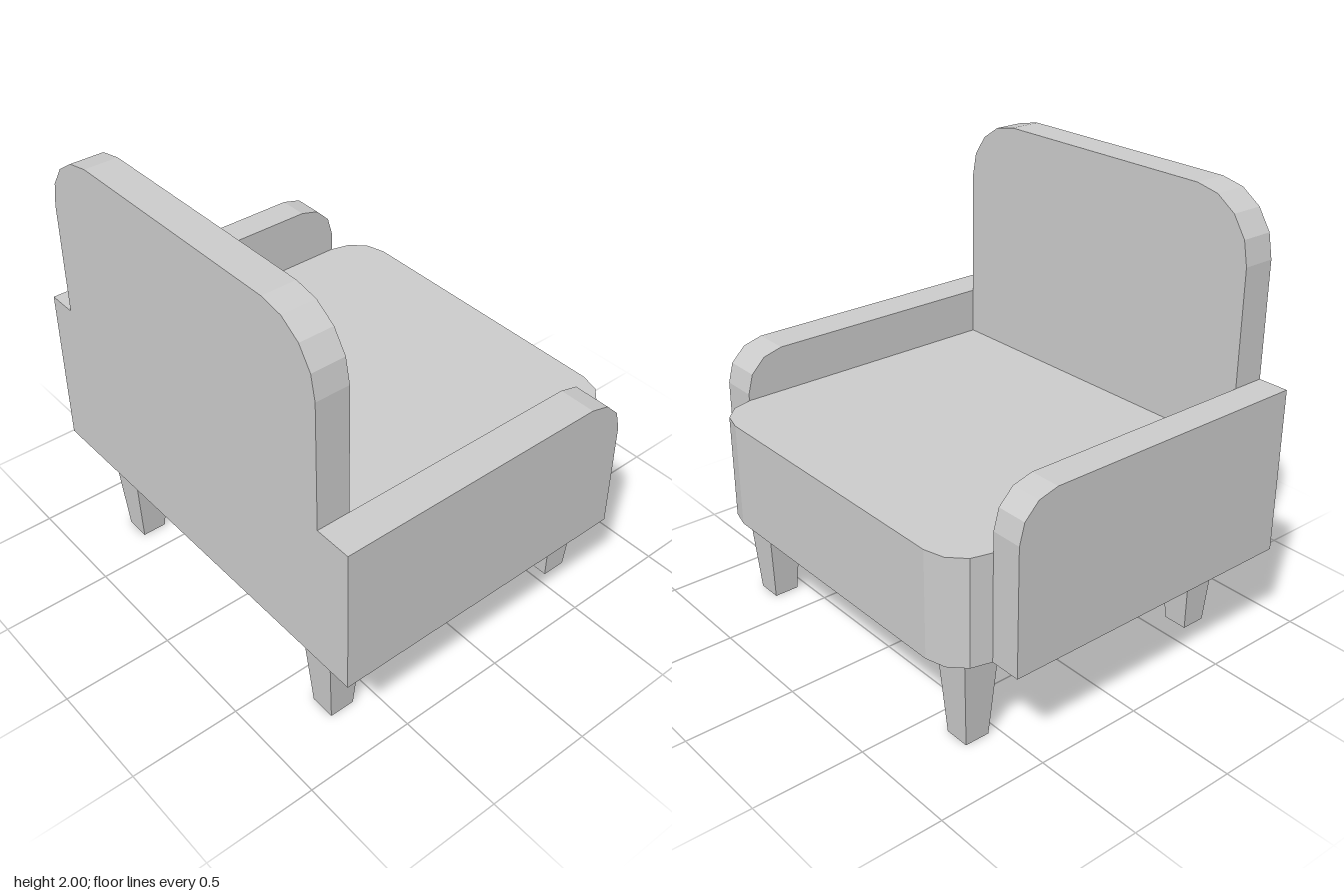
import * as THREE from 'three';

const material = new THREE.MeshStandardMaterial({ color: 0xcccccc, flatShading: true });

// Rectangle outline with rounded corners; radii run bottom left, bottom right, top right, top left
function roundedOutline(x0, y0, x1, y1, radii, segments) {
  const corners = [[x0, y0, 1, 1], [x1, y0, -1, 1], [x1, y1, -1, -1], [x0, y1, 1, -1]];
  const points = [];
  corners.forEach(([x, y, sx, sy], i) => {
    const r = radii[i];
    if (!r) {
      points.push(new THREE.Vector2(x, y));
      return;
    }
    for (let k = 0; k <= segments; k++) {
      const a = Math.PI + (i + k / segments) * Math.PI / 2;
      points.push(new THREE.Vector2(x + sx * r + r * Math.cos(a), y + sy * r + r * Math.sin(a)));
    }
  });
  return new THREE.Shape(points);
}

function slab(shape, depth) {
  return new THREE.ExtrudeGeometry(shape, { depth, bevelEnabled: false });
}

export function createModel() {
  const chair = new THREE.Group();
  chair.name = 'armchair';
  const add = (name, geometry) => {
    const mesh = new THREE.Mesh(geometry, material);
    mesh.name = name;
    chair.add(mesh);
    return mesh;
  };

  const base = 0.45, back = -0.81, backFront = -0.66;
  const zNear = 0.82, zFar = -0.85;

  // Seat block, its two outer corners rounded in plan
  const seat = roundedOutline(backFront, -zNear, 0.81, -zFar, [0, 0.18, 0.18, 0], 3);
  add('seat', slab(seat, 0.93 - base).rotateX(-Math.PI / 2).translate(0, base, 0));

  // Backrest with large rounded top corners
  const rest = roundedOutline(-zNear, base, -zFar, 2, [0, 0, 0.28, 0.28], 4);
  add('backrest', slab(rest, backFront - back).rotateY(Math.PI / 2).translate(back, 0, 0));

  // Armrests, slightly different in height and thickness
  for (const [name, z, depth, top] of [
    ['nearArmrest', zNear, 0.17, 1.14],
    ['farArmrest', -0.99, 0.14, 1.2],
  ]) {
    const arm = roundedOutline(back, base, 0.63, top, [0, 0, 0.18, 0], 3);
    add(name, slab(arm, depth).translate(0, 0, z));
  }

  // Square tapered legs
  const leg = new THREE.CylinderGeometry(0.0885 * Math.SQRT2, 0.0575 * Math.SQRT2, base, 4)
    .rotateY(Math.PI / 4).translate(0, base / 2, 0);
  for (const x of [-0.655, 0.605]) {
    for (const z of [-0.672, 0.713]) {
      add('leg', leg).position.set(x, 0, z);
    }
  }

  return chair;
}
